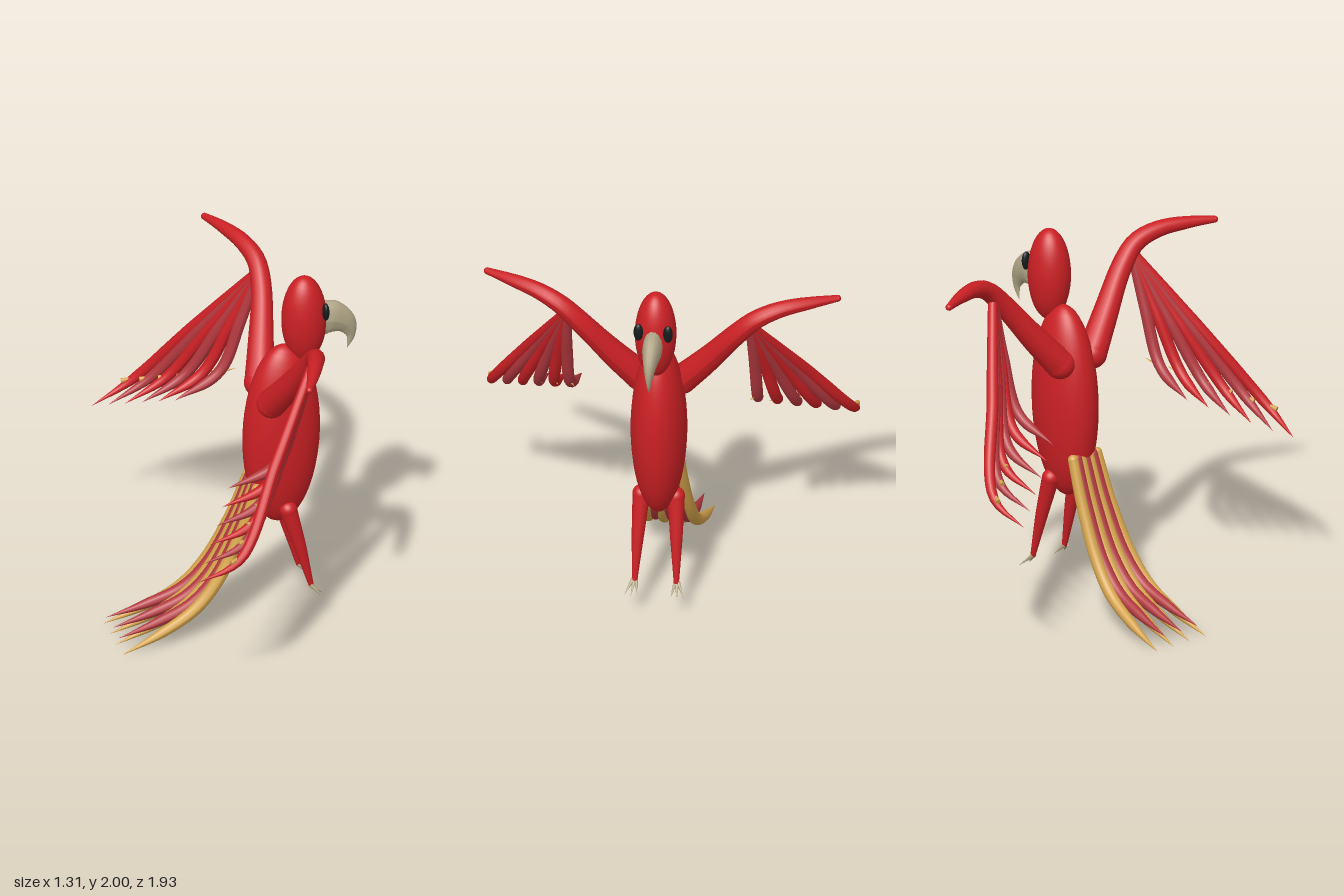
import * as THREE from 'three';

const mat = (name, color) => {
  const m = new THREE.MeshStandardMaterial({ color });
  m.name = name;
  return m;
};

export function createModel() {
  const red = mat('bright red plumage', 0xcc2024);
  const dull = mat('dusky red plumage', 0xb2383e);
  const gold = mat('golden plumage', 0xd4a34a);
  const horn = mat('horn beak and claws', 0xb5a98a);
  const black = mat('black eye', 0x141a1a);

  const bird = new THREE.Group();
  bird.name = 'bird';

  const add = (name, geo, material, parent = bird) => {
    const mesh = new THREE.Mesh(geo, material);
    mesh.name = name;
    parent.add(mesh);
    return mesh;
  };

  const ellipsoid = (name, pos, half, material, parent) => {
    const mesh = add(name, new THREE.SphereGeometry(1, 32, 24), material, parent);
    mesh.position.set(...pos);
    mesh.scale.set(...half);
    return mesh;
  };

  // Tapered tube along a smooth path; radii are spread evenly along its length
  const limb = (name, pts, radii, material, parent, flatZ = 1, round = true) => {
    const curve = new THREE.CatmullRomCurve3(pts.map(p => new THREE.Vector3(...p)));
    const steps = 28, sides = 14;
    const geo = new THREE.TubeGeometry(curve, steps, 1, sides, false);
    const pos = geo.attributes.position, v = new THREE.Vector3();
    for (let i = 0; i <= steps; i++) {
      const c = curve.getPointAt(i / steps);
      const f = (i / steps) * (radii.length - 1);
      const k = Math.min(Math.floor(f), radii.length - 2);
      const r = THREE.MathUtils.lerp(radii[k], radii[k + 1], f - k);
      for (let j = 0; j <= sides; j++) {
        const n = i * (sides + 1) + j;
        v.fromBufferAttribute(pos, n).sub(c).multiplyScalar(r);
        pos.setXYZ(n, c.x + v.x, c.y + v.y, c.z + v.z * flatZ);
      }
    }
    geo.computeVertexNormals();
    add(name, geo, material, parent);
    if (round) {
      const ends = [[pts[0], radii[0]], [pts[pts.length - 1], radii[radii.length - 1]]];
      for (const [p, r] of ends) if (r > 0.005) ellipsoid(name + 'End', p, [r, r, r], material, parent);
    }
  };

  // Straight spike from a base point to a tip
  const spike = (name, a, b, r, material, parent) => {
    const from = new THREE.Vector3(...a), dir = new THREE.Vector3(...b).sub(from);
    const len = dir.length();
    const mesh = add(name, new THREE.ConeGeometry(r, len, 10), material, parent);
    mesh.position.copy(from).addScaledVector(dir, 0.5);
    mesh.quaternion.setFromUnitVectors(new THREE.Vector3(0, 1, 0), dir.normalize());
  };

  // Trunk and head
  const body = ellipsoid('body', [0.255, 1.09, 0], [0.204, 0.522, 0.145], red);
  body.rotation.z = -0.03;
  ellipsoid('head', [0.378, 1.75, 0], [0.118, 0.25, 0.107], red);

  // Hooked beak
  limb('beak',
    [[0.44, 1.74, 0], [0.53, 1.73, 0], [0.6, 1.685, 0], [0.63, 1.61, 0], [0.61, 1.53, 0]],
    [0.1, 0.096, 0.064, 0.026, 0], horn, bird, 0.52, false);

  for (const s of [1, -1]) {
    const side = s > 0 ? 'left' : 'right';
    ellipsoid(side + 'Eye', [0.472, 1.815, s * 0.077], [0.018, 0.05, 0.025], black);

    // Wing arm
    const wing = new THREE.Group();
    wing.name = side + 'Wing';
    bird.add(wing);
    limb('wingArm',
      [[0.17, 1.34, s * 0.11], [0.22, 1.5, s * 0.24], [0.275, 1.72, s * 0.41], [0.28, 1.82, s * 0.51],
        [0.245, 1.87, s * 0.63], [0.185, 1.885, s * 0.78], [0.125, 1.885, s * 0.91]],
      [0.078, 0.07, 0.06, 0.054, 0.046, 0.036, 0.018], red, wing);

    // Flight feathers, inner to outer, each with a small golden barb
    for (let j = 0; j < 6; j++) {
      limb('flightFeather',
        [[0.28, 1.78, s * 0.475],
          [0.185 - 0.036 * j, 1.48 - 0.025 * j, s * (0.488 + 0.046 * j)],
          [0.07 - 0.066 * j, 1.2 - 0.05 * j, s * (0.487 + 0.091 * j)],
          [-0.175 - 0.061 * j, 1.09 - 0.049 * j, s * (0.46 + 0.093 * j)]],
        [0.024, 0.028, 0.031, 0.031, 0.027, 0], j % 2 ? red : dull, wing);
      const x = 0.1 - 0.072 * j, y = 1.212 - 0.049 * j, z = 0.475 + 0.092 * j;
      spike('featherBarb', [x - 0.05, y - 0.018, s * (z + 0.02)],
        [x + 0.055, y + 0.018, s * (z - 0.02)], 0.013, gold, wing);
    }

    // Leg and three toes
    const leg = new THREE.Group();
    leg.name = side + 'Leg';
    bird.add(leg);
    limb('shank', [[0.265, 0.675, s * 0.09], [0.325, 0.45, s * 0.1], [0.382, 0.215, s * 0.108]],
      [0.046, 0.032, 0.014], red, leg);
    for (const t of [-1, 0, 1])
      spike('toe', [0.378, 0.215, s * (0.11 + 0.006 * t)],
        [0.455 - 0.015 * Math.abs(t), 0.15, s * (0.12 + 0.035 * t)], 0.012, horn, leg);
  }

  // Tail fan: alternating golden and dusky feathers
  const tail = new THREE.Group();
  tail.name = 'tail';
  bird.add(tail);
  for (let i = -3; i <= 3; i++) {
    const isGold = Math.abs(i) % 2 === 1, lift = isGold ? 0 : 1;
    limb('tailFeather',
      [[0.1, 0.82, i * 0.027], [0.01, 0.58, i * 0.031], [-0.12, 0.33, i * 0.037],
        [-0.25, 0.185 + 0.015 * lift, i * 0.042], [-0.45, 0.08 + 0.045 * lift, i * 0.049],
        [-0.655, 0.005 + 0.07 * lift, i * 0.055]],
      [0.028, 0.031, 0.033, 0.033, 0.026, 0], isGold ? gold : dull, tail);
  }

  return bird;
}
